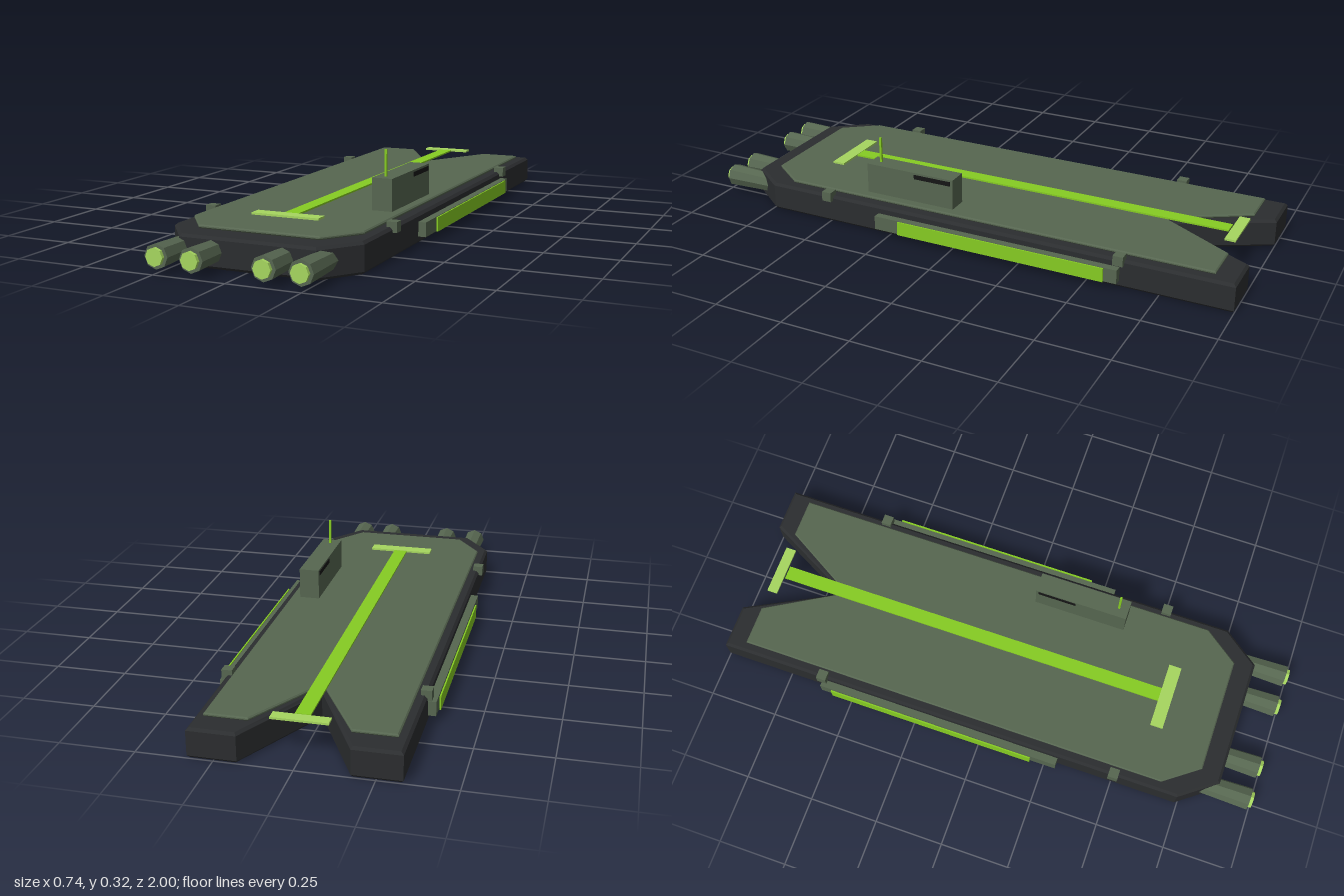
import * as THREE from 'three';

export function createModel() {
  const model = new THREE.Group();
  const mat = (color) => new THREE.MeshStandardMaterial({ color, flatShading: true });
  const dark = mat(0x2b2d2f);
  const olive = mat(0x566650);
  const lime = mat(0x86cc22);
  const paleLime = mat(0xa6d65f);
  const black = mat(0x151515);

  const add = (name, geometry, material, x = 0, y = 0, z = 0) => {
    const mesh = new THREE.Mesh(geometry, material);
    mesh.name = name;
    mesh.position.set(x, y, z);
    model.add(mesh);
    return mesh;
  };

  // Box given by its lower and upper corners
  const box = (name, material, [x0, y0, z0], [x1, y1, z1]) =>
    add(name, new THREE.BoxGeometry(x1 - x0, y1 - y0, z1 - z0), material,
      (x0 + x1) / 2, (y0 + y1) / 2, (z0 + z1) / 2);

  // Bevelled slab: a mirrored plan outline (half in x, z) between two heights
  const slab = (name, material, half, y0, y1, bevel) => {
    const mirrored = half.filter(([x]) => x > 0).map(([x, z]) => [-x, z]).reverse();
    const shape = new THREE.Shape([...half, ...mirrored].map(([x, z]) => new THREE.Vector2(x, z)));
    const geometry = new THREE.ExtrudeGeometry(shape, {
      depth: y1 - y0 - 2 * bevel, bevelThickness: bevel, bevelSize: bevel,
      bevelOffset: -bevel, bevelSegments: 1,
    });
    geometry.rotateX(Math.PI / 2);
    add(name, geometry, material, 0, y1 - bevel, 0);
  };

  // Hull and deck, both with a V notch at the back and a chamfered front
  slab('hull', dark,
    [[0, -0.665], [0.175, -1], [0.333, -1], [0.333, 0.74], [0.235, 0.87]], 0, 0.102, 0.009);
  slab('deck', olive,
    [[0, -0.65], [0.16, -0.925], [0.303, -0.925], [0.303, 0.67], [0.21, 0.795]], 0.106, 0.118, 0.004);

  // Runway marking
  box('runwayStrip', lime, [-0.025, 0.124, -0.885], [0.025, 0.13, 0.575]);
  box('runwayFrontBar', paleLime, [-0.12, 0.124, 0.572], [0.12, 0.131, 0.618]);
  box('runwayBackBar', paleLime, [-0.092, 0.124, -0.928], [0.092, 0.131, -0.89]);

  // Command tower
  box('tower', olive, [0.198, 0.117, 0.03], [0.27, 0.228, 0.372]);
  box('towerWindow', black, [0.196, 0.205, 0.04], [0.272, 0.221, 0.182]);
  box('antenna', lime, [0.229, 0.228, 0.332], [0.237, 0.32, 0.34]);

  // Side pods, light panels and deck-edge turrets
  for (const s of [-1, 1]) {
    add('sidePod', new THREE.BoxGeometry(0.04, 0.05, 0.91), olive, s * 0.34, 0.05, -0.16);
    add('sideLight', new THREE.BoxGeometry(0.005, 0.05, 0.77), lime, s * 0.365, 0.05, -0.185);
    for (const z of [-0.612, 0.503]) {
      add('turret', new THREE.BoxGeometry(0.036, 0.035, 0.036), olive, s * 0.33, 0.102, z);
    }
  }

  // Octagonal thrusters with glowing ends
  const thruster = new THREE.CylinderGeometry(0.041, 0.034, 0.22, 8).rotateX(Math.PI / 2);
  const glow = new THREE.CylinderGeometry(0.03, 0.03, 0.02, 8).rotateX(Math.PI / 2);
  for (const x of [-0.244, -0.122, 0.122, 0.244]) {
    add('thruster', thruster, olive, x, 0.055, 0.878);
    add('thrusterGlow', glow, paleLime, x, 0.055, 0.99);
  }

  return model;
}
